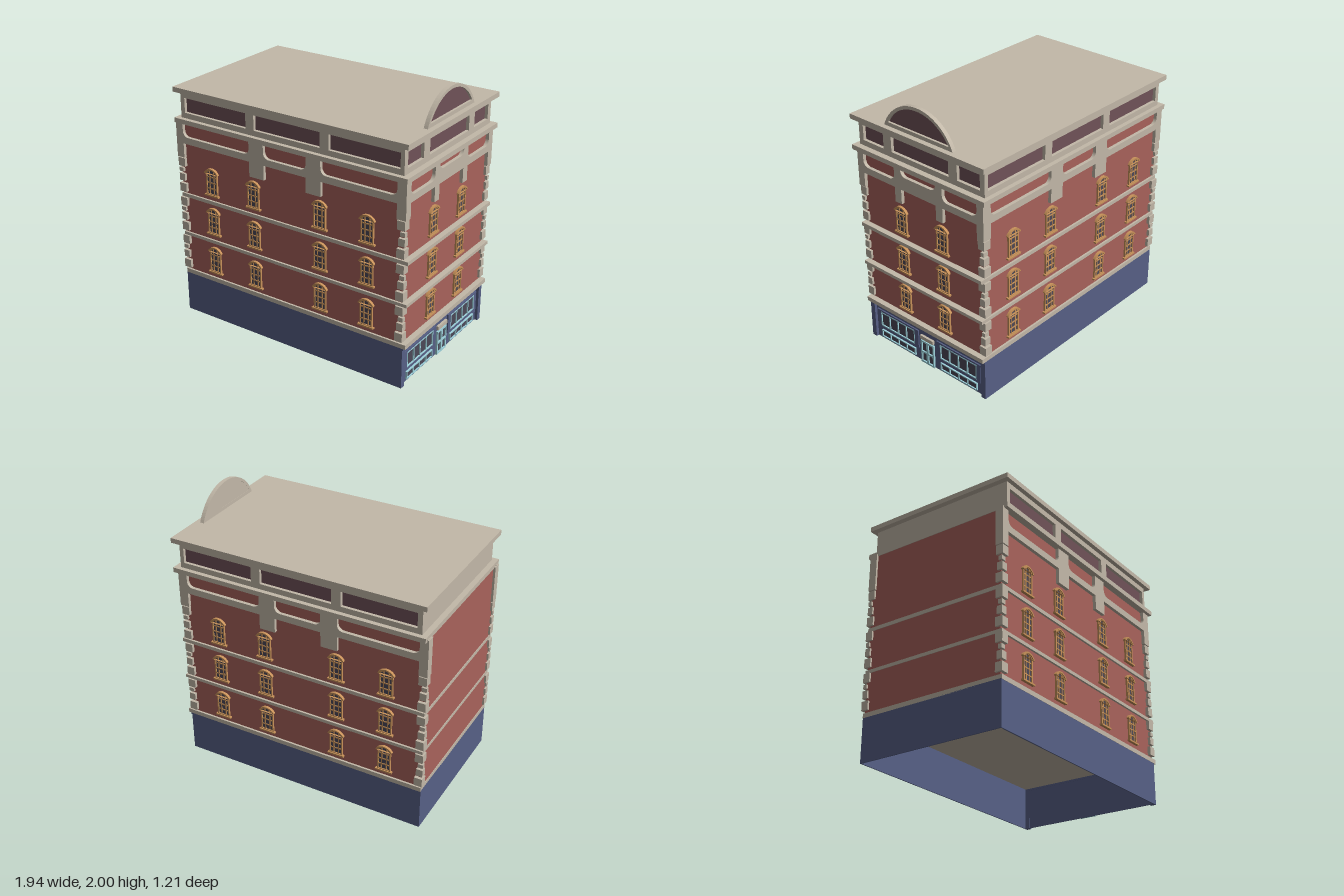
import * as THREE from 'three';

const mat = (color) => new THREE.MeshStandardMaterial({ color, side: THREE.DoubleSide });
const stone = mat(0xc2b8a8), brick = mat(0xa8625b), blue = mat(0x576086), maroon = mat(0x705258);
const glass = mat(0x4c4858), orange = mat(0xc8925a), cyan = mat(0x9fd4de);

function add(parent, name, geo, material, z = 0) {
  const mesh = new THREE.Mesh(geo, material);
  mesh.name = name;
  mesh.position.z = z;
  parent.add(mesh);
  return mesh;
}

// Box given by its limits on each axis
function box(parent, name, m, x0, x1, y0, y1, z0, z1) {
  const mesh = add(parent, name, new THREE.BoxGeometry(x1 - x0, y1 - y0, z1 - z0), m);
  mesh.position.set((x0 + x1) / 2, (y0 + y1) / 2, (z0 + z1) / 2);
  return mesh;
}

const extrude = (shape, depth) =>
  new THREE.ExtrudeGeometry(shape, { depth, bevelEnabled: false, curveSegments: 16 });

// Upright outline closed by a segmental arch
function arch(w, y0, ySpring, rise) {
  const h = w / 2, r = (h * h + rise * rise) / (2 * rise), cy = ySpring + rise - r;
  const a = Math.atan2(ySpring - cy, h);
  const s = new THREE.Shape();
  s.moveTo(-h, y0);
  s.lineTo(h, y0);
  if (ySpring > y0) s.lineTo(h, ySpring);
  s.absarc(0, cy, r, a, Math.PI - a, false);
  s.closePath();
  return s;
}

function rect(x0, x1, y0, y1) {
  return new THREE.Shape([[x0, y0], [x1, y0], [x1, y1], [x0, y1]].map((p) => new THREE.Vector2(...p)));
}

// Opening with rounded lower corners
function roundedOpening(x0, x1, y0, y1, r = 0.045) {
  const s = new THREE.Path();
  s.moveTo(x0, y1);
  s.lineTo(x0, y0 + r);
  s.absarc(x0 + r, y0 + r, r, Math.PI, 1.5 * Math.PI, false);
  s.lineTo(x1 - r, y0);
  s.absarc(x1 - r, y0 + r, r, 1.5 * Math.PI, 2 * Math.PI, false);
  s.lineTo(x1, y1);
  s.closePath();
  return s;
}

// Arched window with glazing bars, hood and sill
function windowAt(parent, x, y) {
  const g = new THREE.Group();
  g.name = 'window';
  g.position.set(x, y, 0);
  add(g, 'windowGlass', extrude(arch(0.09, 0.01, 0.175, 0.028), 0.006), glass);
  const frame = arch(0.1, 0.01, 0.175, 0.034);
  frame.holes.push(arch(0.082, 0.018, 0.173, 0.026));
  add(g, 'windowFrame', extrude(frame, 0.014), orange);
  const hood = arch(0.122, 0.172, 0.178, 0.036);
  hood.holes.push(arch(0.1, 0.1725, 0.175, 0.028));
  add(g, 'windowHood', extrude(hood, 0.02), orange);
  for (const u of [-0.019, 0.019]) box(g, 'windowBar', orange, u - 0.004, u + 0.004, 0.012, 0.198, 0, 0.011);
  for (const v of [0.057, 0.102, 0.147]) box(g, 'windowBar', orange, -0.044, 0.044, v - 0.004, v + 0.004, 0, 0.011);
  box(g, 'windowSill', orange, -0.063, 0.063, 0, 0.012, 0, 0.022);
  parent.add(g);
}

// Stone band with hanging piers and openings
function stoneBand(parent, piers, openings) {
  const pts = [];
  for (const [a, b] of piers) pts.push([a, 1.37], [a, 1.26], [b, 1.26], [b, 1.37]);
  pts.push([piers.at(-1)[1], 1.545], [piers[0][0], 1.545]);
  const s = new THREE.Shape(pts.map((p) => new THREE.Vector2(...p)));
  for (const [a, b, y] of openings) s.holes.push(roundedOpening(a, b, y, 1.54));
  add(parent, 'stoneBand', extrude(s, 0.03), stone, -0.005);
}

// One decorated wall, built facing +z
function facade(root, name, f) {
  const g = new THREE.Group();
  g.name = name;
  stoneBand(g, f.piers, f.openings);
  for (const y of [0.385, 0.7, 1.01]) for (const x of f.windows) windowAt(g, x, y);
  const wall = rect(f.parapet[0], f.parapet[1], 1.555, 1.765);
  for (const [a, b] of f.panels) wall.holes.push(rect(a, b, 1.605, 1.715));
  add(g, 'parapetFrame', extrude(wall, 0.025), stone, f.parapetZ);
  root.add(g);
  return g;
}

// Shopfront on the end wall, built facing +z
function shopfront(root) {
  const g = new THREE.Group();
  g.name = 'shopfront';
  for (const s of [-1, 1]) {
    box(g, 'shopPier', blue, s * 0.545 - 0.02, s * 0.545 + 0.02, 0, 0.32, -0.01, 0.022);
    const c = s * 0.3;
    const surround = rect(c - 0.21, c + 0.21, 0.1, 0.25);
    surround.holes.push(rect(c - 0.172, c + 0.172, 0.12, 0.232));
    add(g, 'shopWindowSurround', extrude(surround, 0.01), blue);
    for (const [y0, y1] of [[0.12, 0.232], [0.022, 0.075]]) {
      box(g, 'shopGlass', glass, c - 0.17, c + 0.17, y0, y1, -0.002, 0.003);
      for (let i = 0; i <= 4; i++) {
        const u = c - 0.17 + i * 0.085;
        box(g, 'shopWindowBar', cyan, u - 0.004, u + 0.004, y0, y1, 0, 0.012);
      }
      for (const y of [y0, y1]) box(g, 'shopWindowRail', cyan, c - 0.174, c + 0.174, y - 0.004, y + 0.004, 0, 0.012);
    }
    // Door leaf
    const d = s * 0.031;
    box(g, 'doorGlass', glass, d - 0.031, d + 0.031, 0.005, 0.185, 0, 0.004);
    for (const u of [d - 0.027, d + 0.027]) box(g, 'doorStile', cyan, u - 0.006, u + 0.006, 0, 0.188, 0, 0.014);
    for (const y of [0.008, 0.092, 0.182]) box(g, 'doorRail', cyan, d - 0.031, d + 0.031, y - 0.007, y + 0.007, 0, 0.014);
  }
  box(g, 'shopFascia', blue, -0.565, 0.565, 0.3, 0.32, -0.01, 0.028);
  box(g, 'doorPlaque', stone, -0.063, 0.063, 0.202, 0.232, 0, 0.018);
  g.position.x = 0.915;
  g.rotation.y = Math.PI / 2;
  root.add(g);
}

// Alternating corner stones up the three brick floors
function quoins(root, sx, sz) {
  const g = new THREE.Group();
  g.name = 'cornerStones';
  const rows = [[0.015, 0.08, 1], [0.1, 0.155, 0.5], [0.17, 0.2, 0], [0.215, 0.28, 1]];
  const outX = sx > 0 ? 0.938 : 0.97;
  for (const y of [0.35, 0.66, 0.973]) {
    for (const [a, b, k] of rows) {
      const x0 = outX - 0.038 - 0.022 * k, z0 = 0.542 - 0.022 * k;
      const m = box(g, 'cornerStone', stone, x0, outX, y + a, y + b, z0, 0.57 + 0.005 * k);
      m.position.x *= sx;
      m.position.z *= sz;
    }
  }
  root.add(g);
}

export function createModel() {
  const root = new THREE.Group();
  root.name = 'building';

  // Hollow ground floor, open below
  for (const s of [-1, 1]) box(root, 'baseWall', blue, -0.96, 0.935, 0, 0.32, s * 0.561 - 0.004, s * 0.561 + 0.004);
  box(root, 'baseEndWall', blue, -0.96, -0.952, 0, 0.32, -0.56, 0.56);
  box(root, 'baseShopWall', blue, 0.907, 0.915, 0, 0.32, -0.56, 0.56);
  shopfront(root);

  // Brick storeys and stone courses
  box(root, 'brickWalls', brick, -0.956, 0.92, 0.33, 1.54, -0.552, 0.552);
  for (const [a, b] of [[0.315, 0.348], [0.633, 0.657], [0.945, 0.972]])
    box(root, 'stoneCourse', stone, -0.96, 0.962, a, b, -0.567, 0.567);
  for (const sx of [-1, 1]) for (const sz of [-1, 1]) quoins(root, sx, sz);
  for (const s of [-1, 1])
    box(root, 'cornerPier', stone, -0.972, -0.912, 1.26, 1.54, s * 0.547 - 0.03, s * 0.547 + 0.03);

  // Parapet, cornice and roof
  box(root, 'cornice', stone, -0.96, 0.964, 1.53, 1.565, -0.603, 0.603);
  box(root, 'parapetPanels', maroon, -0.9, 0.897, 1.555, 1.765, -0.547, 0.547);
  box(root, 'parapetEnd', stone, -0.92, -0.899, 1.555, 1.765, -0.57, 0.57);
  box(root, 'roof', stone, -0.96, 0.964, 1.757, 1.793, -0.603, 0.603);

  // Long sides
  const long = {
    piers: [[-0.965, -0.91], [-0.315, -0.19], [0.165, 0.285], [0.875, 0.945]],
    openings: [[-0.91, -0.315, 1.42], [-0.19, 0.165, 1.42], [0.285, 0.875, 1.42]],
    windows: [-0.675, -0.3, 0.265, 0.645],
    panels: [[-0.885, -0.34], [-0.27, 0.275], [0.345, 0.89]],
    parapet: [-0.92, 0.92], parapetZ: -0.007,
  };
  const flip = (list) => list.map(([a, b, y]) => [-b, -a, y]).reverse();
  const back = {
    ...long, piers: flip(long.piers), openings: flip(long.openings), panels: flip(long.panels),
    windows: long.windows.map((x) => -x),
  };
  facade(root, 'frontFacade', long).position.z = 0.552;
  const rear = facade(root, 'backFacade', back);
  rear.position.z = -0.552;
  rear.rotation.y = Math.PI;

  // Shop end
  const end = facade(root, 'endFacade', {
    piers: [[-0.575, -0.52], [-0.22, -0.16], [0.16, 0.22], [0.52, 0.575]],
    openings: [[-0.52, -0.22, 1.42], [-0.16, 0.16, 1.47], [0.22, 0.52, 1.42]],
    windows: [-0.19, 0.19],
    panels: [[-0.53, -0.335], [-0.26, 0.26], [0.335, 0.53]],
    parapet: [-0.57, 0.57], parapetZ: -0.025,
  });
  end.position.x = 0.92;
  end.rotation.y = Math.PI / 2;

  // Arched crest on the roof edge
  const crest = new THREE.Group();
  crest.name = 'roofCrest';
  const rim = arch(0.62, 1.79, 1.79, 0.21);
  rim.holes.push(arch(0.55, 1.82, 1.82, 0.157));
  add(crest, 'crestRim', extrude(rim, 0.03), stone);
  add(crest, 'crestBack', extrude(arch(0.6, 1.792, 1.792, 0.2), 0.008), stone, 0.001);
  add(crest, 'crestPanel', extrude(arch(0.55, 1.82, 1.82, 0.157), 0.006), maroon, 0.007);
  crest.position.x = 0.895;
  crest.rotation.y = Math.PI / 2;
  root.add(crest);

  return root;
}
